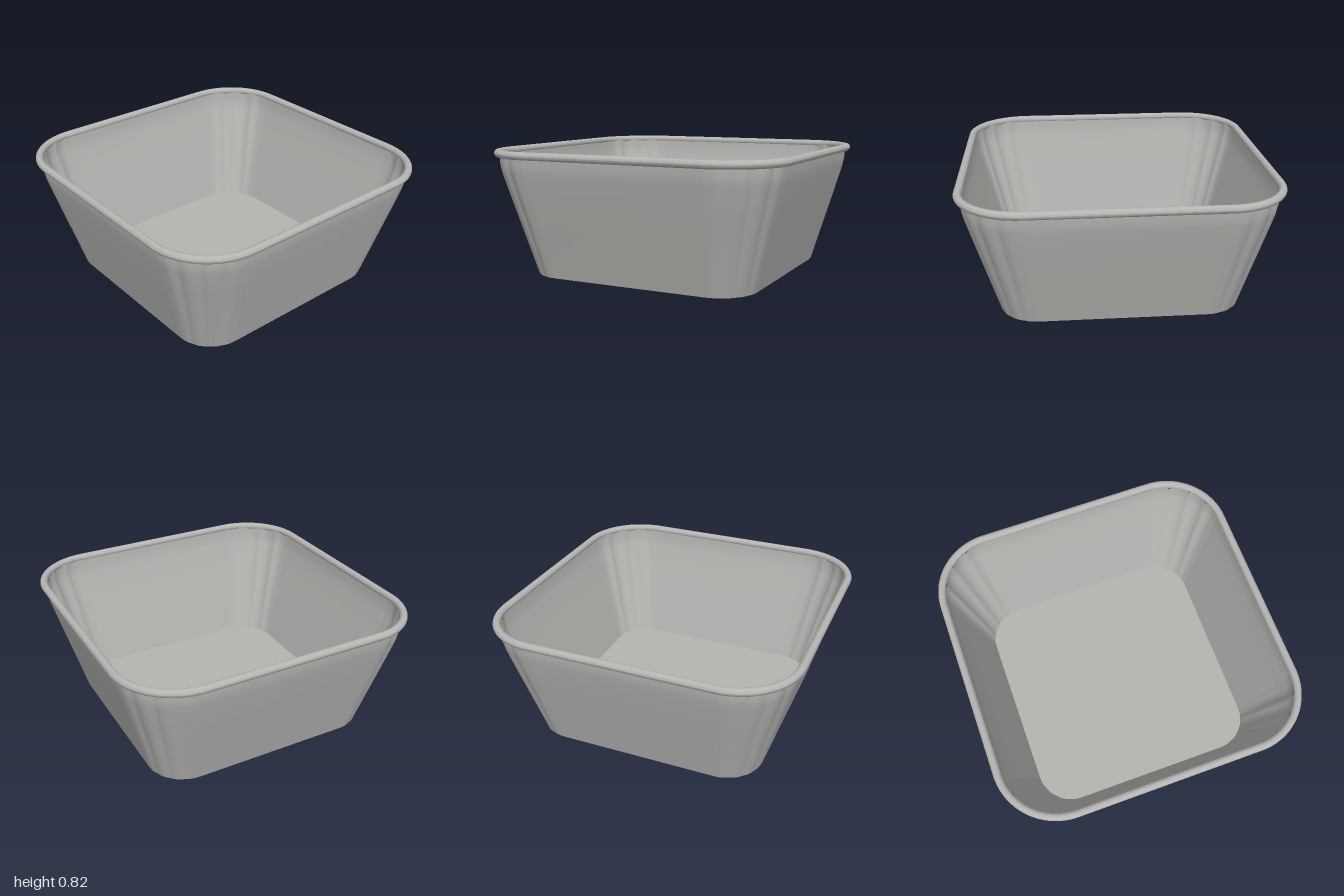
import * as THREE from 'three';

const FLUTES = 4, STEPS = 32;

// Rounded-square outline in x/z; shallow flutes of the given depth run round each corner.
function outline(half, radius, depth) {
  const pts = [];
  for (let c = 0; c < 4; c++) {
    const mid = Math.PI / 4 + c * Math.PI / 2;
    const cx = Math.sign(Math.cos(mid)) * (half - radius);
    const cz = Math.sign(Math.sin(mid)) * (half - radius);
    for (let i = 0; i <= STEPS; i++) {
      const u = i / STEPS;
      const a = (c + u) * Math.PI / 2;
      const fade = Math.min(1, 8 * Math.min(u, 1 - u));
      const r = radius - depth * fade * (1 - Math.abs(Math.sin(u * FLUTES * Math.PI)));
      pts.push([cx + r * Math.cos(a), cz + r * Math.sin(a)]);
    }
  }
  return pts;
}

// Skin a stack of outlines; each level is { half, radius, depth, y }.
function loft(levels) {
  const pos = [], idx = [];
  const n = 4 * (STEPS + 1);
  for (const l of levels) {
    for (const [x, z] of outline(l.half, l.radius, l.depth)) pos.push(x, l.y, z);
  }
  for (let k = 0; k < levels.length - 1; k++) {
    for (let j = 0; j < n; j++) {
      const a = k * n + j, b = k * n + (j + 1) % n;
      idx.push(a, a + n, b, b, a + n, b + n);
    }
  }
  const g = new THREE.BufferGeometry();
  g.setAttribute('position', new THREE.Float32BufferAttribute(pos, 3));
  g.setIndex(idx);
  g.computeVertexNormals();
  return g;
}

export function createModel() {
  const group = new THREE.Group();
  const metal = new THREE.MeshStandardMaterial({ color: 0xb4b4b1 });
  metal.name = 'bare metal';
  const add = (name, geometry) => {
    const mesh = new THREE.Mesh(geometry, metal);
    mesh.name = name;
    group.add(mesh);
  };

  // Flared wall: outer and inner skins, turning upright just below the rim
  const profile = [[0.762, 0], [0.81, 0.17], [0.858, 0.34], [0.906, 0.51], [0.95, 0.67], [0.961, 0.73], [0.965, 0.79]];
  const skin = (inset) => profile.map(([half, y]) => ({
    half: half - inset,
    radius: 0.24 + 0.13 * y / 0.79 - inset,
    depth: 0.003 + 0.011 * Math.sin(Math.PI * Math.min(1, y / 0.79) * 0.75),
    y,
  }));
  add('outerWall', loft(skin(0)));
  add('innerWall', loft(skin(0.01).reverse()));

  // Rolled rim
  const bead = [];
  for (let i = 0; i <= 16; i++) {
    const a = i / 16 * Math.PI * 2;
    const out = 0.025 * Math.cos(a);
    bead.push({ half: 0.975 + out, radius: 0.385 + out, depth: 0, y: 0.795 + 0.025 * Math.sin(a) });
  }
  add('rolledRim', loft(bead));

  // Flat floor plate
  const floorShape = new THREE.Shape(outline(0.76, 0.238, 0.003).map(([x, z]) => new THREE.Vector2(x, z)));
  const floor = new THREE.ExtrudeGeometry(floorShape, { depth: 0.01, bevelEnabled: false });
  floor.rotateX(Math.PI / 2).translate(0, 0.01, 0);
  add('floor', floor);

  return group;
}
